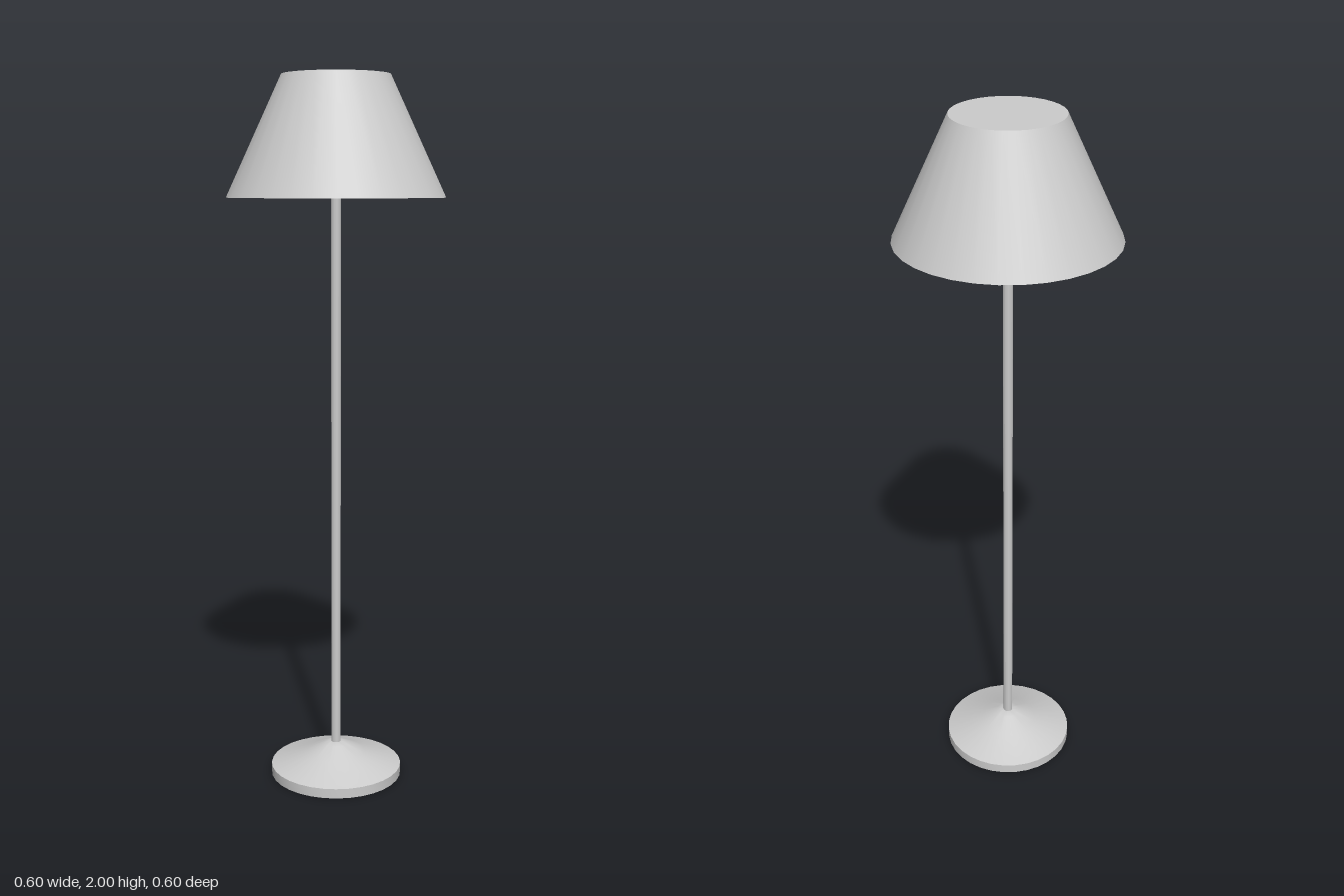
import * as THREE from 'three';
import { toCreasedNormals } from 'three/addons/utils/BufferGeometryUtils.js';

const SIDES = 32;

// Closed turned solid from [radius, height] pairs, listed bottom to top
function turned(name, profile, material) {
  const points = profile.map(([r, y]) => new THREE.Vector2(r, y));
  const geometry = toCreasedNormals(new THREE.LatheGeometry(points, SIDES), 0.55);
  const mesh = new THREE.Mesh(geometry, material);
  mesh.name = name;
  return mesh;
}

export function createModel() {
  const lamp = new THREE.Group();
  lamp.name = 'floorLamp';
  const paleGrey = new THREE.MeshStandardMaterial({ color: 0xcccccc });
  paleGrey.name = 'paleGrey';

  // Round foot with a low rim, sweeping up to the pole
  lamp.add(turned('base', [
    [0, 0], [0.19, 0], [0.19, 0.028], [0.085, 0.063],
    [0.035, 0.088], [0.02, 0.093], [0, 0.093],
  ], paleGrey));

  // Slender pole
  lamp.add(turned('pole', [[0, 0.08], [0.0135, 0.08], [0.0135, 1.69], [0, 1.69]], paleGrey));

  // Tapered shade, closed at top and bottom
  lamp.add(turned('shade', [[0, 1.673], [0.302, 1.673], [0.149, 2], [0, 2]], paleGrey));

  return lamp;
}
